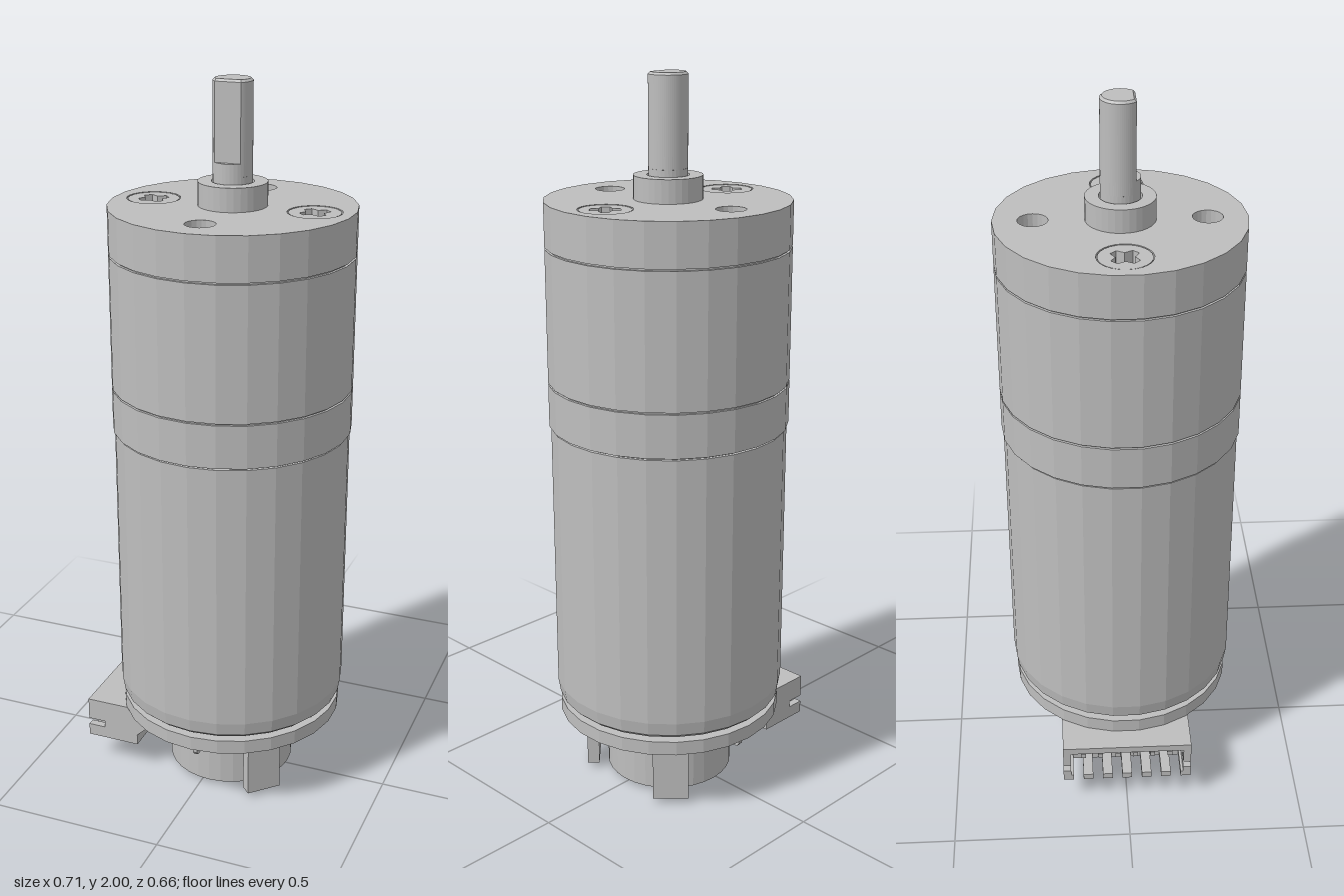
import * as THREE from 'three';

const SIDES = 26;
const steel = new THREE.MeshStandardMaterial({ color: 0xbebebe, flatShading: true });
steel.name = 'brushed grey';

function add(parent, name, geometry, x = 0, y = 0, z = 0) {
  const mesh = new THREE.Mesh(geometry, steel);
  mesh.name = name;
  mesh.position.set(x, y, z);
  parent.add(mesh);
  return mesh;
}

// Upright solid of revolution from [radius, height] pairs, bottom to top
const lathe = (profile, sides = SIDES) =>
  new THREE.LatheGeometry(profile.map(([r, y]) => new THREE.Vector2(r, y)), sides);

const drum = (r, y0, y1, sides = SIDES) => lathe([[0, y0], [r, y0], [r, y1], [0, y1]], sides);

const box = (w, h, d) => new THREE.BoxGeometry(w, h, d);

// Points of a regular polygon in plan
function ngon(r, sides, cx = 0, cy = 0) {
  return Array.from({ length: sides }, (_, i) => {
    const a = (i / sides) * Math.PI * 2;
    return new THREE.Vector2(cx + Math.sin(a) * r, cy - Math.cos(a) * r);
  });
}

// Extrude a plan shape upwards from y = 0
function rise(shape, depth, options = {}) {
  const g = new THREE.ExtrudeGeometry(shape, { depth, bevelEnabled: false, curveSegments: 24, ...options });
  return g.rotateX(-Math.PI / 2);
}

// Countersunk screw head with a cross recess
function screw(parent, x) {
  const g = new THREE.Group();
  g.name = 'screw';
  g.position.set(x, 1.63, 0);
  g.rotation.y = Math.PI / 4;
  const head = new THREE.Shape(ngon(0.069, 24));
  const w = 0.011, l = 0.04, k = 0.017;
  const cross = [];
  for (let i = 0; i < 4; i++) {
    const a = (i * Math.PI) / 2;
    for (const [px, py] of [[l, -w], [l, w], [k, k]]) {
      cross.push(new THREE.Vector2(px * Math.cos(a) - py * Math.sin(a), px * Math.sin(a) + py * Math.cos(a)));
    }
  }
  head.holes.push(new THREE.Path(cross));
  add(g, 'screwHead', rise(head, 0.044));
  add(g, 'screwCore', drum(0.068, -0.07, 0.008, 24));
  parent.add(g);
}

// Side-entry socket, opening towards -x
function connector(parent) {
  const g = new THREE.Group();
  g.name = 'connector';

  // End walls with a latch notch
  const wall = new THREE.Shape([
    [-0.356, 0.08], [-0.2, 0.08], [-0.2, 0.112], [-0.16, 0.15], [-0.16, 0.2], [-0.356, 0.2],
    [-0.356, 0.135], [-0.305, 0.135], [-0.305, 0.115], [-0.356, 0.115],
  ].map(([x, y]) => new THREE.Vector2(x, y)));
  const t = 0.022;
  for (const z of [-0.185, 0.185 - t]) {
    add(g, 'endWall', new THREE.ExtrudeGeometry(wall, { depth: t, bevelEnabled: false }), 0, 0, z);
  }
  add(g, 'topWall', box(0.196, 0.02, 0.37), -0.258, 0.19, 0);
  add(g, 'backWall', box(0.03, 0.1, 0.37), -0.215, 0.14, 0);

  // Floor split into teeth by slots
  add(g, 'floor', box(0.07, 0.018, 0.37), -0.235, 0.089, 0);
  for (let i = 0; i < 7; i++) {
    add(g, 'floorTooth', box(0.09, 0.018, 0.028), -0.311, 0.089, (i - 3) * 0.0565);
  }
  // Contacts: horizontal blades and solder legs
  for (let i = 0; i < 6; i++) {
    const z = (i - 2.5) * 0.0505;
    add(g, 'contact', box(0.1, 0.014, 0.014), -0.275, 0.14, z);
    add(g, 'contactLeg', box(0.04, 0.07, 0.016), -0.185, 0.168, z);
  }
  parent.add(g);
}

export function createModel() {
  const model = new THREE.Group();
  model.name = 'gearMotor';
  const axis = new THREE.Group();
  axis.name = 'motorAssembly';
  axis.position.x = 0.026;
  model.add(axis);

  // Motor can with rolled lower edge
  add(axis, 'motorCan', lathe([[0, 0.25], [0.305, 0.25], [0.318, 0.262], [0.324, 0.3], [0.324, 1.06], [0, 1.06]]));
  add(axis, 'canNeck', drum(0.315, 1.058, 1.068));

  // Gearbox sections with fine seams
  add(axis, 'gearboxRing', drum(0.329, 1.066, 1.184));
  add(axis, 'ringSeam', drum(0.322, 1.18, 1.195));
  add(axis, 'gearboxBody', drum(0.329, 1.189, 1.552));
  add(axis, 'capSeam', drum(0.322, 1.55, 1.56));

  // Face plate with mounting and screw holes
  const plate = new THREE.Shape(ngon(0.329, SIDES));
  for (const s of [-1, 1]) {
    plate.holes.push(new THREE.Path(ngon(0.04, 20, 0, s * 0.224)));
    plate.holes.push(new THREE.Path(ngon(0.072, 24, s * 0.225, 0)));
    screw(axis, s * 0.225);
  }
  add(axis, 'facePlate', rise(plate, 0.118), 0, 1.557, 0);

  // Boss and output shaft with a flat on the front
  add(axis, 'boss', lathe([[0.092, 1.67], [0.092, 1.738], [0.056, 1.738], [0.056, 1.72], [0, 1.72]], 32));
  const r = 0.052, flat = 0.038, a = Math.asin(flat / r);
  add(axis, 'shaftBase', drum(r, 1.7, 1.79, 32));
  const dee = new THREE.Shape();
  dee.absarc(0, 0, r, -a, Math.PI + a, false);
  dee.closePath();
  add(axis, 'outputShaft', rise(dee, 0.238, {
    bevelEnabled: true, bevelThickness: 0.006, bevelSize: 0.006, bevelOffset: -0.006, bevelSegments: 1,
  }), 0, 1.756, 0);

  // Encoder board, rear bearing and magnet wheel
  add(axis, 'rearBearing', drum(0.1, 0.235, 0.255));
  add(axis, 'circuitBoard', drum(0.316, 0.2, 0.24));
  for (const s of [-1, 1]) add(axis, 'boardSpacer', box(0.1, 0.014, 0.05), 0, 0.245, s * 0.25);
  add(axis, 'magnetWheel', drum(0.18, 0.012, 0.127, 32));
  add(axis, 'rearShaft', drum(0.025, 0, 0.21, 16));

  for (const s of [-1, 1]) {
    // Sensors standing beside the wheel on the diagonals
    const sensor = add(axis, 'hallSensor', box(0.1, 0.187, 0.034), 0.155, 0.1085, s * 0.16);
    sensor.rotation.y = (s * Math.PI) / 4;

    // Looped power terminals
    const tab = new THREE.Shape(
      [[-0.024, 0], [0.024, 0], [0.024, -0.032], [0.016, -0.042], [-0.016, -0.042], [-0.024, -0.032]]
        .map(([x, y]) => new THREE.Vector2(x, y)));
    tab.holes.push(new THREE.Path(
      [[-0.013, -0.006], [0.013, -0.006], [0.013, -0.031], [-0.013, -0.031]]
        .map(([x, y]) => new THREE.Vector2(x, y))));
    const tabGeometry = new THREE.ExtrudeGeometry(tab, { depth: 0.012, bevelEnabled: false });
    tabGeometry.translate(0, 0, -0.006).rotateY(Math.PI / 2);
    add(axis, 'terminal', tabGeometry, 0, 0.202, s * 0.26);
  }

  connector(model);
  return model;
}
